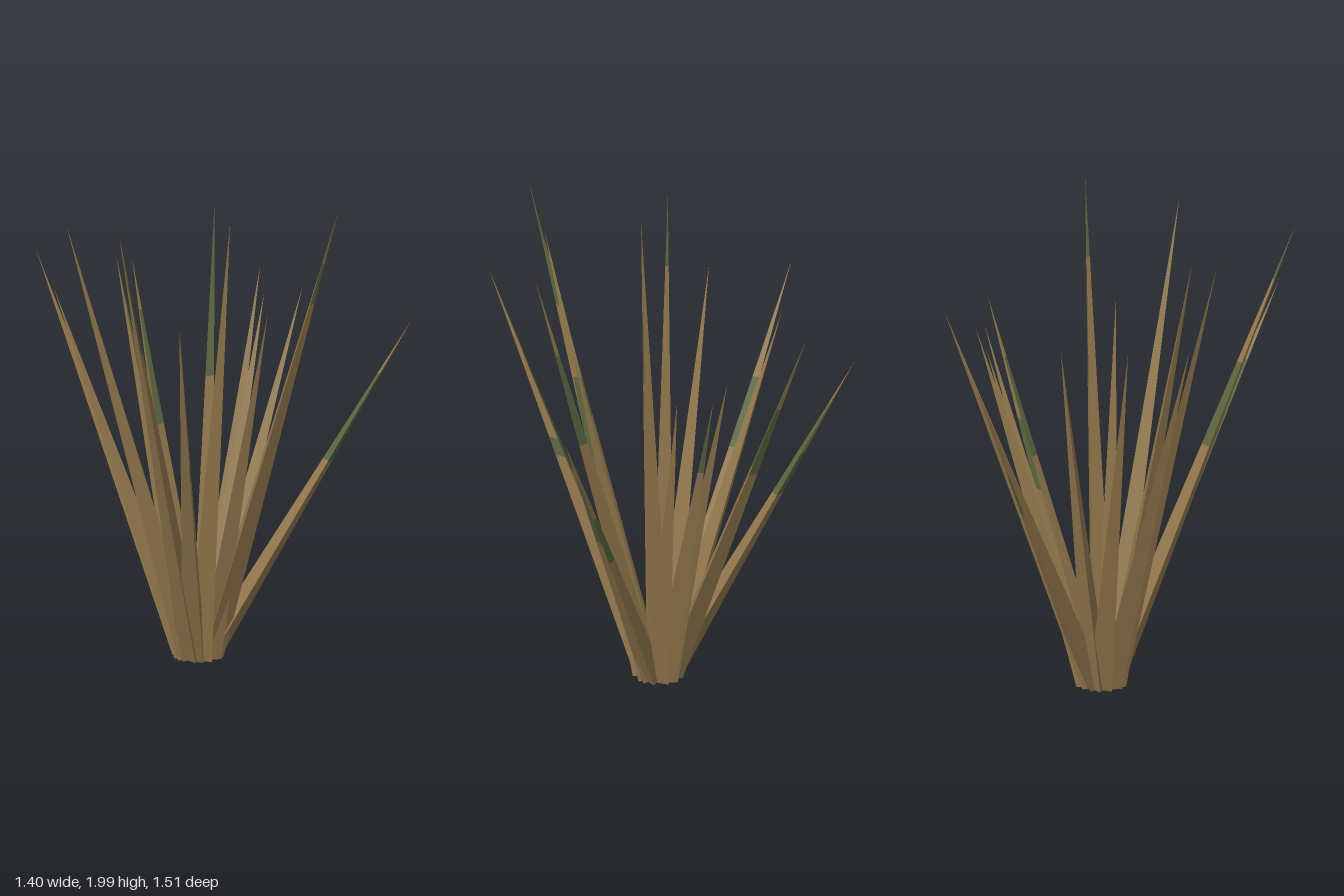
import * as THREE from 'three';

// Clump centre, distance of each leaf from it, and leaf radius at the base
const CX = -0.1, CZ = 0.05, OFFSET = 0.049, RADIUS = 0.06, BASE_Y = 0.01;

// Leaf tip, then green patches [start, end] along the leaf
// for its inner, outer and side face
const LEAVES = [
  { tip: [-0.02, 1.49, -0.76], green: [[[0.58, 0.87]], [[0.58, 0.71]], []] },
  { tip: [0.265, 1.73, -0.57], green: [[[0.62, 1]], [[0.6, 0.79]], []] },
  { tip: [0.32, 1.55, -0.245], green: [[], [], []] },
  { tip: [0.31, 1.45, -0.185], green: [[], [[0.75, 0.95]], []] },
  { tip: [0.415, 1.5, -0.04], green: [[], [], []] },
  { tip: [0.7, 1.45, 0.415], green: [[[0.585, 0.84]], [[0.58, 0.85]], [[0.5, 0.68]]] },
  { tip: [0.305, 2, 0.545], green: [[[0.84, 1]], [[0.79, 0.88]], [[0.59, 0.81]]] },
  { tip: [0.055, 1.55, 0.395], green: [[], [], []] },
  { tip: [-0.175, 2, 0.52], green: [[[0.02, 0.13]], [], [[0.36, 0.67]]] },
  { tip: [-0.515, 1.65, 0.755], green: [[[0.5, 0.8]], [], [[0.54, 0.585]]] },
  { tip: [-0.7, 1.96, 0.595], green: [[[0.52, 0.7], [0.88, 1]], [], [[0.75, 0.97]]] },
  { tip: [-0.495, 1.88, 0.13], green: [[], [], [[0.64, 0.78]]] },
  { tip: [-0.685, 1.92, 0.025], green: [[[0.85, 1]], [], []] },
  { tip: [-0.665, 1.61, -0.145], green: [[], [], []] },
  { tip: [-0.585, 1.67, -0.485], green: [[[0.55, 0.72]], [], []] },
  { tip: [-0.235, 1.61, -0.455], green: [[], [], []] },
];

function leafGeometry({ tip, green }) {
  const top = new THREE.Vector3(...tip);
  const angle = Math.atan2(tip[2] - CZ, tip[0] - CX);
  // Corner of the three-sided base, turned from the outward direction
  const corner = (degrees) => {
    const turn = angle + THREE.MathUtils.degToRad(degrees);
    return new THREE.Vector3(
      CX + OFFSET * Math.cos(angle) + RADIUS * Math.cos(turn),
      BASE_Y,
      CZ + OFFSET * Math.sin(angle) + RADIUS * Math.sin(turn));
  };
  const b = corner(-150), a = corner(90), ridge = corner(-30);

  const triangles = [[], []]; // brown, green
  const add = (colour, ...points) => points.forEach((p) => triangles[colour].push(p.x, p.y, p.z));
  const strip = (colour, p, q, from, to) => {
    if (to - from < 1e-4) return;
    const p0 = p.clone().lerp(top, from), q0 = q.clone().lerp(top, from);
    const p1 = p.clone().lerp(top, to), q1 = q.clone().lerp(top, to);
    add(colour, p0, q0, q1);
    if (to < 1) add(colour, p0, q1, p1);
  };

  // Each tapering face, divided into brown and green stretches
  [[b, a], [a, ridge], [ridge, b]].forEach(([p, q], face) => {
    let from = 0;
    for (const [start, end] of green[face]) {
      strip(0, p, q, from, start);
      strip(1, p, q, start, end);
      from = end;
    }
    strip(0, p, q, from, 1);
  });
  add(0, b, ridge, a); // underside

  const geometry = new THREE.BufferGeometry();
  geometry.setAttribute('position', new THREE.Float32BufferAttribute(triangles.flat(), 3));
  const brownCount = triangles[0].length / 3;
  geometry.addGroup(0, brownCount, 0);
  if (triangles[1].length) geometry.addGroup(brownCount, triangles[1].length / 3, 1);
  geometry.computeVertexNormals();
  return geometry;
}

export function createModel() {
  const brown = new THREE.MeshStandardMaterial({ color: 0x94794e });
  brown.name = 'dry brown';
  const green = new THREE.MeshStandardMaterial({ color: 0x5c6741 });
  green.name = 'dull green';

  const clump = new THREE.Group();
  clump.name = 'spikyPlant';
  LEAVES.forEach((leaf, i) => {
    const mesh = new THREE.Mesh(leafGeometry(leaf), [brown, green]);
    mesh.name = `leaf${i + 1}`;
    clump.add(mesh);
  });
  return clump;
}
